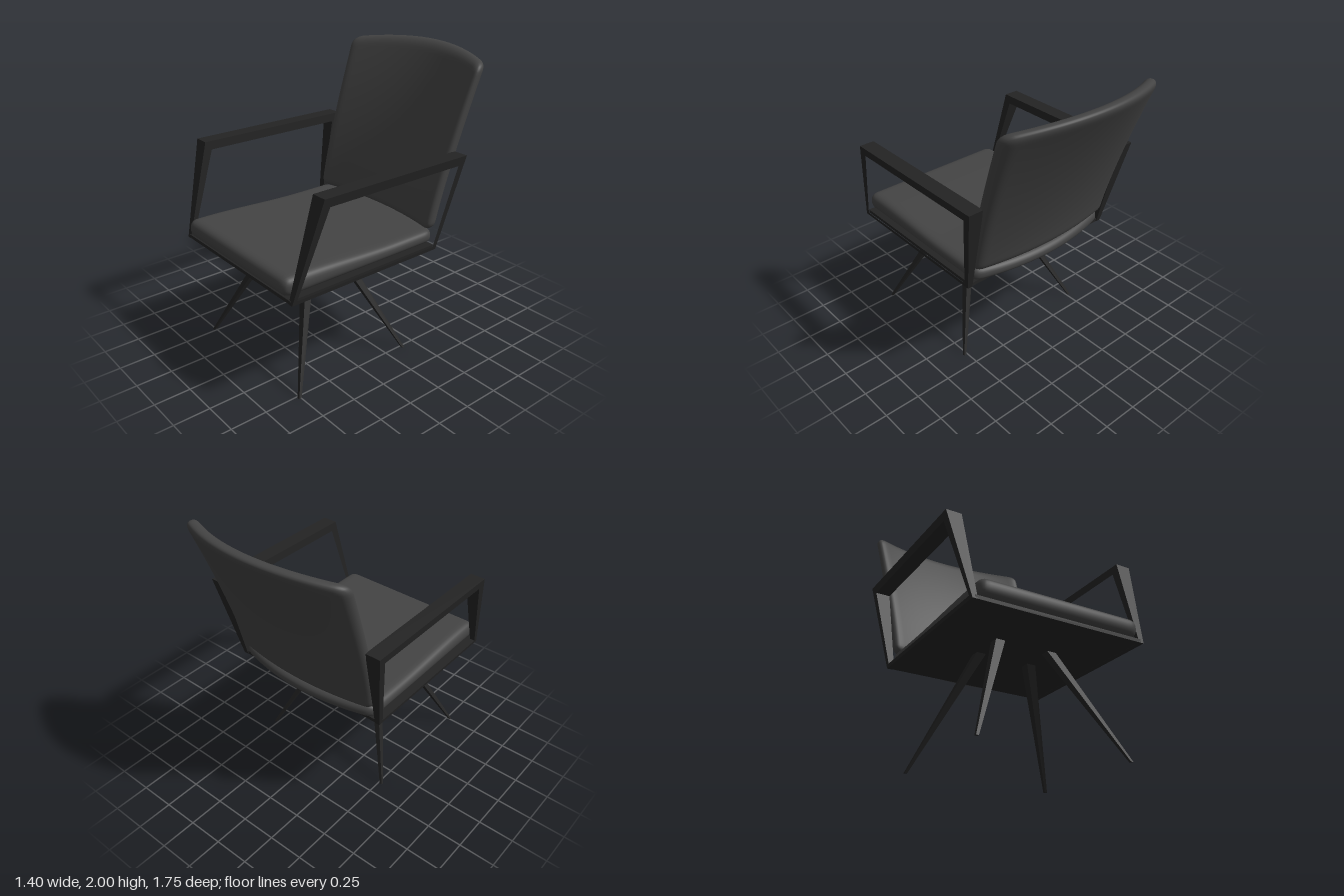
import * as THREE from 'three';
import { mergeVertices } from 'three/addons/utils/BufferGeometryUtils.js';

const upholstery = new THREE.MeshStandardMaterial({ color: 0x444444 });
upholstery.name = 'charcoal upholstery';
const frameMat = new THREE.MeshStandardMaterial({ color: 0x242424 });
frameMat.name = 'black frame';

function part(name, geometry, material) {
  const mesh = new THREE.Mesh(geometry, material);
  mesh.name = name;
  return mesh;
}

// Apply a rule to every vertex
function warp(geometry, rule) {
  const pos = geometry.attributes.position;
  const v = new THREE.Vector3();
  for (let i = 0; i < pos.count; i++) {
    v.fromBufferAttribute(pos, i);
    rule(v);
    pos.setXYZ(i, v.x, v.y, v.z);
  }
  geometry.computeVertexNormals();
  return geometry;
}

// Smooth cushion: a box of half sizes with rounded edges, then bent by a rule
function cushion(half, radius, segments, rule) {
  let g = new THREE.BoxGeometry(2, 2, 2, ...segments);
  g.deleteAttribute('uv');
  g.deleteAttribute('normal');
  g = mergeVertices(g);
  return warp(g, (v) => {
    const q = new THREE.Vector3();
    const core = new THREE.Vector3();
    for (const k of ['x', 'y', 'z']) {
      const p = Math.sin(v[k] * Math.PI / 2) * half[k]; // denser near the edges
      const c = half[k] - radius[k];
      core[k] = THREE.MathUtils.clamp(p, -c, c);
      q[k] = (p - core[k]) / radius[k];
    }
    const len = q.length();
    if (len > 0) q.multiplyScalar(Math.max(Math.abs(q.x), Math.abs(q.y), Math.abs(q.z)) / len);
    v.copy(core).add(q.multiply(radius));
    rule(v);
  });
}

const V = (x, y, z) => new THREE.Vector3(x, y, z);

export function createModel() {
  const group = new THREE.Group();
  group.name = 'armchair';

  // Seat: raised front lip and a bowed rear edge
  group.add(part('seatCushion', cushion(V(0.572, 0.05, 0.61), V(0.06, 0.045, 0.06), [32, 12, 32], (v) => {
    const bow = 1 - (v.x / 0.572) ** 2;
    const back = THREE.MathUtils.clamp(-v.z / 0.61, 0, 1);
    const lift = THREE.MathUtils.smoothstep(v.z, -0.3, 0.5);
    v.y = 0.77 + (v.y + 0.05) * (1 + 0.3 * lift);
    v.z += 0.27 - 0.1 * bow * back * back;
  }), upholstery));

  // Backrest: leans back, flares upward and wraps around the sitter
  group.add(part('backCushion', cushion(V(1, 1, 0.05), V(0.1, 0.1, 0.045), [36, 36, 12], (v) => {
    const s = (v.y + 1) / 2;
    const bow = 1 - v.x * v.x;
    v.x *= 0.573 + 0.052 * s;
    v.y = 0.87 + s * (1.08 + 0.05 * bow);
    v.z += -0.32 - 0.34 * Math.pow(s, 1.2) - (0.07 + 0.11 * s * s) * bow;
  }), upholstery));

  // Base plate under the seat
  const plate = new THREE.BoxGeometry(1.18, 0.024, 1.18);
  plate.translate(0, 0.758, 0.268);
  group.add(part('basePlate', plate, frameMat));

  // Arm frames: slanted loops that widen toward the armrest
  const outer = [[0.86, 0.745], [0.685, 1.4], [-0.475, 1.4], [-0.325, 0.745]];
  const inner = [[0.825, 0.77], [0.64, 1.34], [-0.41, 1.34], [-0.295, 0.77]];
  for (const s of [1, -1]) {
    const toPoints = (list) => list.map(([z, y]) => new THREE.Vector2(-s * z, y));
    const shape = new THREE.Shape(toPoints(outer));
    shape.holes.push(new THREE.Path(toPoints(inner)));
    const g = new THREE.ExtrudeGeometry(shape, { depth: 1, bevelEnabled: false });
    warp(g, (v) => {
      const t = (v.y - 0.745) / 0.655;
      const x = THREE.MathUtils.lerp(0.575 + 0.02 * t, 0.61 + 0.092 * t, v.z);
      v.set(s * x, v.y, -s * v.x);
    });
    group.add(part(s > 0 ? 'leftArmFrame' : 'rightArmFrame', g, frameMat));
  }

  // Four splayed, tapering legs
  for (const sx of [1, -1]) {
    for (const sz of [1, -1]) {
      const g = warp(new THREE.BoxGeometry(1, 1, 1), (v) => {
        const t = v.y + 0.5;
        const w = THREE.MathUtils.lerp(0.018, 0.066, t);
        v.set(
          sx * THREE.MathUtils.lerp(0.52, 0.188, t) + v.x * w,
          t * 0.75,
          0.308 + sz * THREE.MathUtils.lerp(0.45, 0.118, t) + v.z * w
        );
      });
      group.add(part((sz > 0 ? 'front' : 'back') + (sx > 0 ? 'Left' : 'Right') + 'Leg', g, frameMat));
    }
  }
  return group;
}
